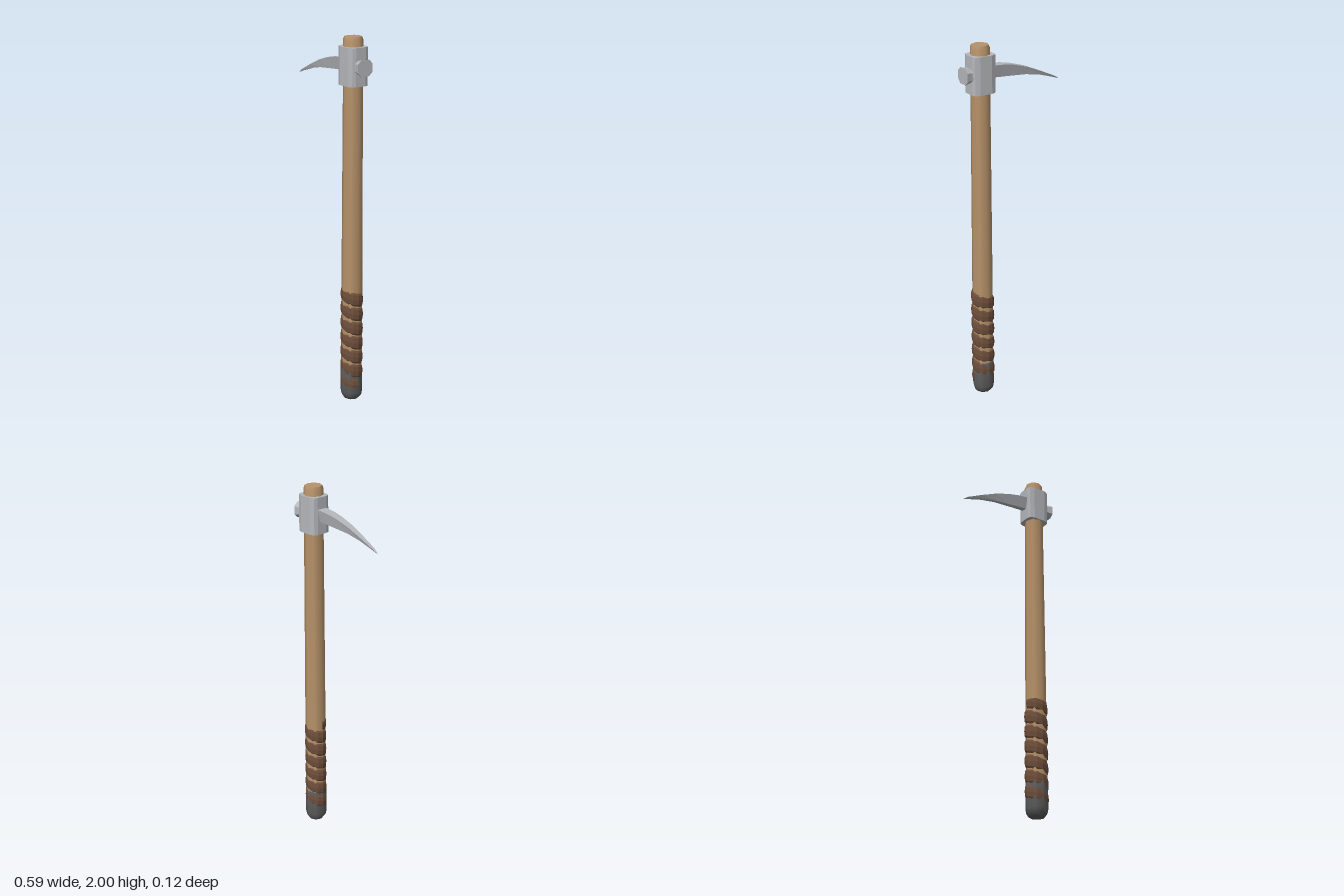
import * as THREE from 'three';
import { toCreasedNormals } from 'three/addons/utils/BufferGeometryUtils.js';

const AXIS_X = 0.19; // the shaft stands off-centre, balancing the long spike
const wood = new THREE.MeshStandardMaterial({ color: 0xb8936a });
const leather = new THREE.MeshStandardMaterial({ color: 0x6f4f3c, flatShading: true });
const steel = new THREE.MeshStandardMaterial({ color: 0xb6b8bc, flatShading: true });
const iron = new THREE.MeshStandardMaterial({ color: 0x5c5c5c });

// Skin a row of rings (counterclockwise seen from the far end) and cap both ends
function loft(rings) {
  const n = rings[0].length;
  const index = [];
  for (let i = 0; i < rings.length - 1; i++) {
    for (let j = 0; j < n; j++) {
      const a = i * n + j, b = i * n + (j + 1) % n;
      index.push(a, b, b + n, a, b + n, a + n);
    }
  }
  const end = (rings.length - 1) * n;
  for (let j = 1; j < n - 1; j++) {
    index.push(0, j + 1, j, end, end + j, end + j + 1);
  }
  const geo = new THREE.BufferGeometry().setFromPoints(rings.flat());
  geo.setIndex(index);
  geo.computeVertexNormals();
  return geo;
}

// Eight-sided turned part that keeps only its sharp rims creased
function turned(profile) {
  const points = profile.map(([r, y]) => new THREE.Vector2(r, y));
  return toCreasedNormals(new THREE.LatheGeometry(points, 8), 0.9);
}

export function createModel() {
  const model = new THREE.Group();
  const add = (name, geometry, material, x = 0) => {
    const mesh = new THREE.Mesh(geometry, material);
    mesh.name = name;
    mesh.position.x = x;
    model.add(mesh);
    return mesh;
  };

  // Slightly tapered wooden shaft with a softened top
  add('shaft', turned([[0, 0.05], [0.057, 0.05], [0.057, 0.64], [0.052, 1.75],
    [0.052, 1.985], [0.046, 2], [0, 2]]), wood, AXIS_X);

  // Rounded butt cap
  add('buttCap', turned([[0, 0], [0.042, 0.003], [0.055, 0.02], [0.06, 0.045],
    [0.06, 0.19], [0.056, 0.195]]), iron, AXIS_X);

  // Leather strip spiralling up the grip, proud at the sides and sunk front and back
  const turns = 6.5, perTurn = 12, steps = turns * perTurn;
  const wrapRings = [];
  for (let i = 0; i <= steps; i++) {
    const angle = i / perTurn * Math.PI * 2;
    const y = THREE.MathUtils.lerp(0.09, 0.63, i / steps);
    const ring = [];
    for (let j = 0; j < 8; j++) {
      const t = j / 8 * Math.PI * 2;
      const out = 0.009 * Math.cos(t);
      ring.push(new THREE.Vector3(
        Math.cos(angle) * (0.056 + out),
        THREE.MathUtils.clamp(y + 0.038 * Math.sin(t), 0.08, 0.642),
        Math.sin(angle) * (0.051 + out)));
    }
    wrapRings.push(ring);
  }
  add('gripWrap', loft(wrapRings), leather, AXIS_X);

  // Chamfered collar holding the head
  const corners = [[0.067, 0.03], [0.06, 0.049], [0.035, 0.058]];
  const mirrored = [...corners].reverse().map(([x, z]) => [-x, z]);
  const half = [...corners, ...mirrored];
  const outline = [...half, ...half.map(([x, z]) => [-x, -z])];
  const collarShape = new THREE.Shape(outline.map(([x, z]) => new THREE.Vector2(x, z)));
  const collar = new THREE.ExtrudeGeometry(collarShape, { depth: 0.2, bevelEnabled: false });
  collar.rotateX(-Math.PI / 2);
  collar.translate(0, 1.75, 0);
  add('headCollar', collar, steel, AXIS_X);

  // Curved spike: x, top, bottom, half width
  const stations = [
    [0.14, 1.888, 1.82, 0.031], [0.06, 1.881, 1.815, 0.027], [0, 1.87, 1.81, 0.0235],
    [-0.085, 1.845, 1.803, 0.019], [-0.175, 1.807, 1.785, 0.014],
    [-0.265, 1.766, 1.757, 0.008], [-0.294, 1.748, 1.746, 0.001]];
  add('spike', loft(stations.map(([x, top, bottom, w]) => [
    new THREE.Vector3(x, bottom, -w * 0.5), new THREE.Vector3(x, bottom, w * 0.5),
    new THREE.Vector3(x, top, w), new THREE.Vector3(x, top, -w)])), steel);

  // Flared hammer poll: x, half size
  const poll = [[0.24, 0.036], [0.265, 0.038], [0.293, 0.045]];
  add('hammerPoll', loft(poll.map(([x, s]) => {
    const c = s * 0.55;
    return [[s, -c], [s, c], [c, s], [-c, s], [-s, c], [-s, -c], [-c, -s], [c, -s]]
      .map(([y, z]) => new THREE.Vector3(x, 1.85 + y * 0.93, z));
  })), steel);

  return model;
}
